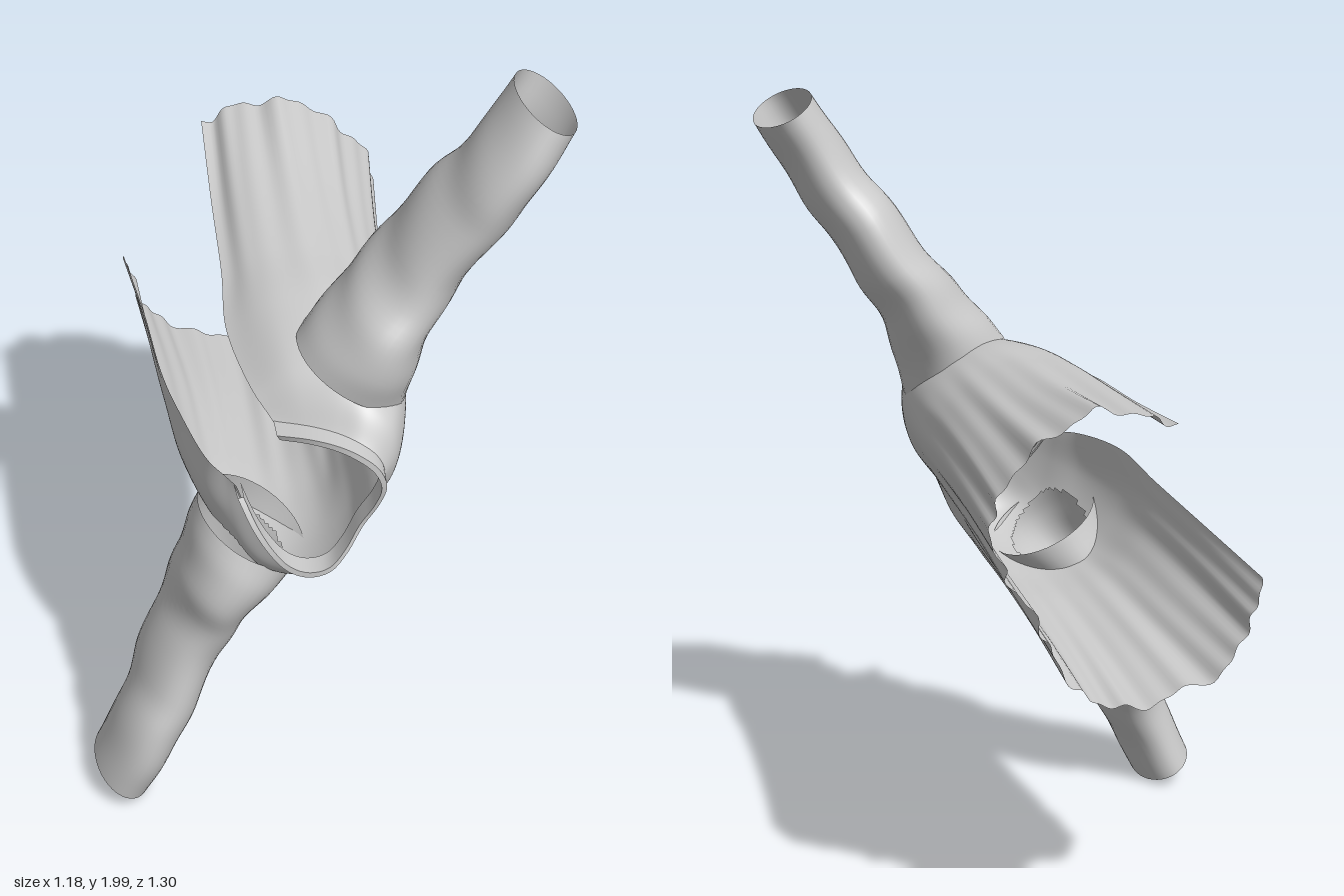
import * as THREE from 'three';

const material = new THREE.MeshStandardMaterial({ color: 0xcccccc, side: THREE.DoubleSide });

// Garment frame: s runs along the sleeves, f points out of the chest, z runs from hem to neck.
const place = (s, f, z) => new THREE.Vector3(0.475 * s - 0.88 * f, 1 + 0.88 * s + 0.475 * f, z);

// Mirror half a section ([s, f, z] from centre back to front edge) into a whole one.
const whole = half => [...half.slice(1).reverse().map(([s, f, z]) => [-s, f, z]), ...half];

// Surface through rows of [s, f, z] points; "shape" may move a point, "skip" may leave out faces.
function loft(rows, nu, nv, { closed = false, shape = p => p, skip = () => false } = {}) {
  const along = rows.map(r => new THREE.CatmullRomCurve3(r.map(p => new THREE.Vector3(...p)), closed));
  const grid = [], position = [], index = [];
  for (let i = 0; i <= nu; i++) {
    const cross = new THREE.CatmullRomCurve3(along.map(c => c.getPoint(i / nu)));
    for (let j = 0; j <= nv; j++) {
      const p = shape(cross.getPoint(j / nv), i / nu, j / nv);
      grid.push(p);
      position.push(...place(p.x, p.y, p.z).toArray());
    }
  }
  const col = i => (closed ? i % nu : i) * (nv + 1);
  for (let i = 0; i < nu; i++) {
    for (let j = 0; j < nv; j++) {
      const a = col(i) + j, b = col(i + 1) + j;
      const mid = grid[a].clone().add(grid[b + 1]).multiplyScalar(0.5);
      if (!skip(mid)) index.push(a, b, b + 1, a, b + 1, a + 1);
    }
  }
  const g = new THREE.BufferGeometry();
  g.setAttribute('position', new THREE.Float32BufferAttribute(position, 3));
  g.setIndex(index);
  g.computeVertexNormals();
  return g;
}

function named(geometry, name) {
  const mesh = new THREE.Mesh(geometry, material);
  mesh.name = name;
  return mesh;
}

const atZ = (z, pts) => pts.map(([s, f]) => [s, f, z]);

// Half sections of the body, hem first
const neck = [[0, -0.085, 0.58], [0.08, -0.085, 0.59], [0.14, -0.07, 0.6], [0.175, -0.03, 0.6],
  [0.185, 0.02, 0.59], [0.175, 0.07, 0.565], [0.145, 0.13, 0.53], [0.1, 0.19, 0.49]];
const bodyRows = [
  atZ(-0.64, [[0, -0.18], [0.13, -0.19], [0.25, -0.17], [0.33, -0.1], [0.375, 0.03], [0.38, 0.17], [0.31, 0.27], [0.23, 0.34]]),
  atZ(-0.3, [[0, -0.165], [0.12, -0.17], [0.23, -0.15], [0.31, -0.08], [0.345, 0.03], [0.345, 0.15], [0.28, 0.265], [0.19, 0.325]]),
  atZ(0, [[0, -0.155], [0.12, -0.16], [0.22, -0.14], [0.3, -0.07], [0.335, 0.03], [0.33, 0.14], [0.26, 0.255], [0.165, 0.315]]),
  atZ(0.2, [[0, -0.145], [0.12, -0.155], [0.22, -0.14], [0.3, -0.07], [0.335, 0.03], [0.33, 0.12], [0.25, 0.24], [0.13, 0.305]]),
  atZ(0.4, [[0, -0.14], [0.12, -0.15], [0.22, -0.12], [0.29, -0.06], [0.32, 0.02], [0.3, 0.1], [0.22, 0.2], [0.115, 0.25]]),
  [[0, -0.12, 0.53], [0.11, -0.12, 0.54], [0.19, -0.09, 0.55], [0.25, -0.04, 0.545],
    [0.265, 0.03, 0.535], [0.25, 0.09, 0.51], [0.18, 0.16, 0.485], [0.105, 0.21, 0.46]],
  neck,
].map(whole);

// Lengthwise folds that deepen toward the ragged hem
function folds(p, u, v) {
  const fade = Math.max(0, 1 - v * 1.7) ** 1.5;
  const a = u * Math.PI * 2;
  const d = fade * (0.007 * Math.sin(a * 13) + 0.005 * Math.sin(a * 23 + 1));
  const r = Math.hypot(p.x, p.y - 0.05) || 1;
  p.x += d * p.x / r;
  p.y += d * (p.y - 0.05) / r;
  p.z += fade ** 3 * 0.01 * Math.sin(a * 9 + 2);
  return p;
}

// Armholes are left open where the sleeves join
const inArmhole = p => Math.abs(p.x) > 0.24 && ((p.y - 0.05) / 0.105) ** 2 + ((p.z - 0.36) / 0.155) ** 2 < 1;

// Sleeve rings: s, f, half thickness, z toward hem, z toward neck
const sleeveRings = [
  [0.26, 0.05, 0.15, 0.19, 0.54], [0.34, 0.055, 0.132, 0.178, 0.558], [0.43, 0.055, 0.112, 0.168, 0.555],
  [0.52, 0.045, 0.1, 0.165, 0.525], [0.62, 0.035, 0.095, 0.168, 0.515], [0.76, 0.024, 0.09, 0.19, 0.53],
  [0.86, 0.015, 0.087, 0.232, 0.545], [0.97, 0.008, 0.083, 0.248, 0.547], [1.09, 0, 0.08, 0.245, 0.525],
];

function sleeve(side) {
  const rows = sleeveRings.map(([s, f, h, z0, z1]) => Array.from({ length: 16 }, (_, k) => {
    const a = k / 16 * Math.PI * 2;
    return [side * s, f + h * Math.cos(a), (z0 + z1) / 2 + (z1 - z0) / 2 * Math.sin(a)];
  }));
  // Soft diagonal creases, none at the two ends
  const shape = (p, u, v) => {
    p.y += 0.005 * Math.sin(v * Math.PI) * Math.sin(v * 24 + 2 * Math.sin(u * Math.PI * 2));
    return p;
  };
  return loft(rows, 40, 40, { closed: true, shape });
}

// Stand collar: a thin band following the neckline
function collar() {
  const offset = (k, dz) => whole(neck.map(([s, f, z]) => [s * k, (f - 0.03) * k + 0.03, z + dz]));
  const outer = [offset(1.03, -0.012), offset(1.01, 0.048)];
  const inner = [offset(0.93, 0.048), offset(0.94, -0.012)];
  const group = new THREE.Group();
  group.name = 'collar';
  group.add(
    named(loft(outer, 56, 2), 'collarOutside'),
    named(loft([outer[1], inner[0]], 56, 1), 'collarEdge'),
    named(loft(inner, 56, 2), 'collarInside'),
  );
  return group;
}

export function createModel() {
  const model = new THREE.Group();
  model.name = 'openJacket';
  model.add(
    named(loft(bodyRows, 168, 72, { shape: folds, skip: inArmhole }), 'body'),
    named(sleeve(1), 'upperSleeve'),
    named(sleeve(-1), 'lowerSleeve'),
    collar(),
  );
  return model;
}
